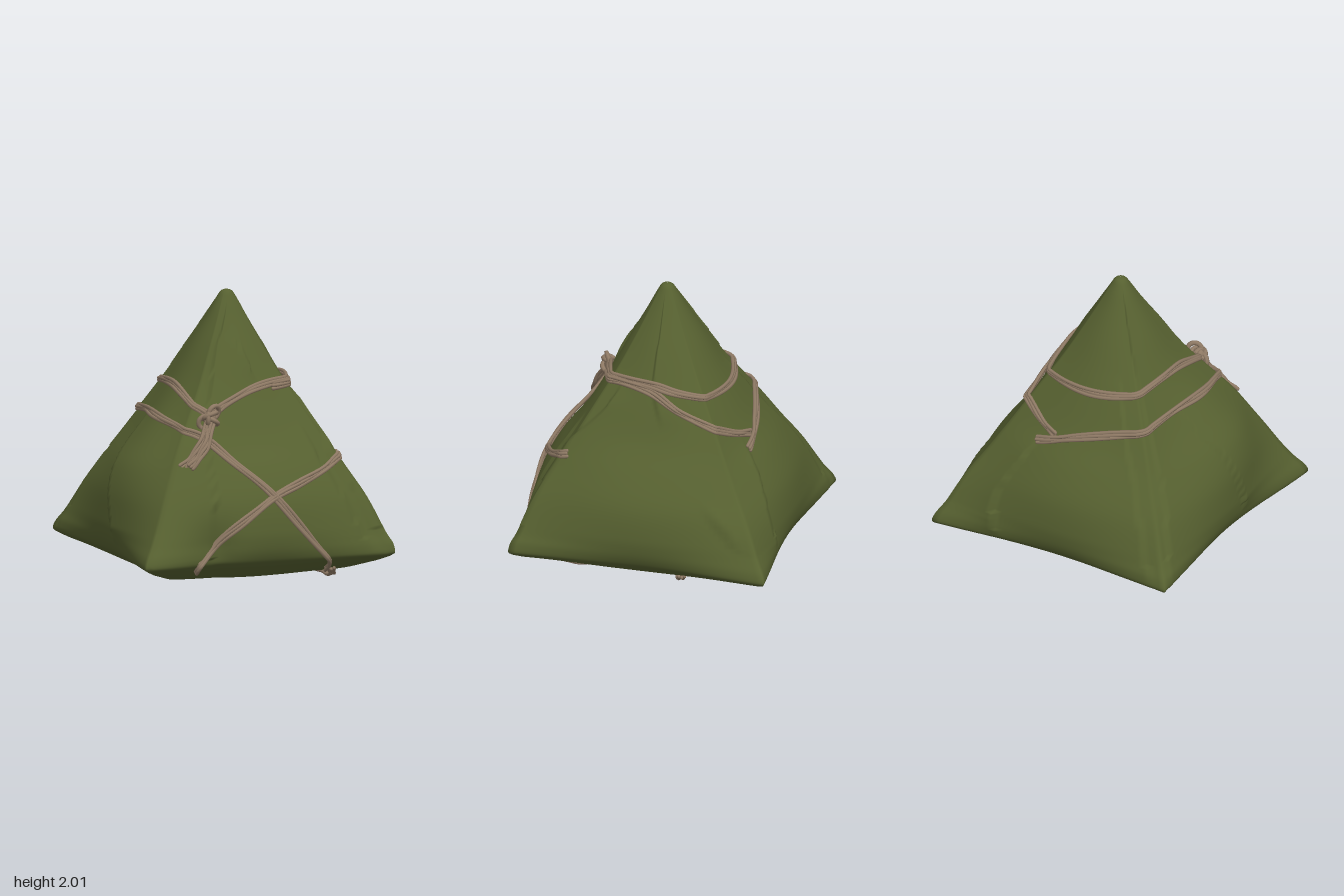
import * as THREE from 'three';

const green = new THREE.MeshStandardMaterial({ name: 'leafGreen', color: 0x566030 });
const brown = new THREE.MeshStandardMaterial({ name: 'twineBrown', color: 0x8f7a65 });

// Profile from base centre to apex: [side radius, height, corner radius]
const profile = new THREE.CatmullRomCurve3([
  [0.004, 0.02, 0.004], [0.3, 0.004, 0.3], [0.53, 0.012, 0.62], [0.67, 0.05, 0.92], [0.77, 0.1, 1.12],
  [0.84, 0.145, 1.27], [0.88, 0.185, 1.35], [0.905, 0.24, 1.33], [0.92, 0.32, 1.26], [0.92, 0.4, 1.2],
  [0.88, 0.6, 1.06], [0.77, 0.8, 0.9], [0.61, 1.0, 0.75], [0.485, 1.2, 0.59], [0.37, 1.4, 0.43],
  [0.26, 1.6, 0.29], [0.145, 1.8, 0.16], [0.075, 1.93, 0.08], [0.04, 1.985, 0.04], [0.004, 2.0, 0.004],
].map(p => new THREE.Vector3(...p)));
const ROWS = 114, COLS = 240;
const rings = profile.getPoints(ROWS);

const wrap = a => Math.atan2(Math.sin(a), Math.cos(a));
const bell = (d, w) => Math.exp(-((d / w) ** 2));
const lean = y => 0.015 * y; // apex leans slightly forward

// Corners: [angle from +z towards +x, length factor]
const corners = [[0.785, 0.965], [2.356, 1.01], [-2.356, 0.985], [-0.785, 1.02]];

// Radius of the stuffed pyramid at an angle: circle blended to square
function bodyRadius(theta, s, y, d) {
  const c = Math.max(Math.abs(Math.cos(theta)), Math.abs(Math.sin(theta)));
  let r = s * (1 + ((d / s - 1) / 0.4142) * (1 / c - 1));
  for (const [a, f] of corners) r *= 1 + (f - 1) * bell(wrap(theta - a), 0.25) * bell(y - 0.2, 0.25);
  r += 0.1 * bell(wrap(theta + 1.25), 0.5) * bell(y - 0.9, 0.3);
  r -= 0.03 * bell(wrap(theta - 1.57), 0.5) * bell(y - 0.9, 0.25);
  r -= 0.08 * bell(wrap(theta + 0.47), 0.16) * bell(y - 0.25, 0.2);
  return r;
}

// Leaf edges: path of [height, angle], raised side, thickness
const folds = [
  { path: [[0.1, -0.48], [0.65, -0.44], [1.0, -0.55], [1.35, -0.62], [1.65, -0.65], [1.95, -0.3]], side: -1, h: 0.03 },
  { path: [[0.15, 0.79], [0.5, 0.74], [0.9, 0.72], [1.2, 0.95], [1.35, 1.0]], side: 1, h: 0.03 },
  { path: [[0.2, 0.7], [0.5, 0.64], [0.85, 0.6], [1.1, 0.62]], side: -1, h: 0.018 },
  { path: [[0.15, -2.33], [0.8, -2.25], [1.4, -2.3], [1.95, -2.4]], side: 1, h: 0.025 },
  { path: [[0.15, -2.42], [0.8, -2.48], [1.4, -2.6]], side: -1, h: 0.02 },
  { path: [[1.1, 1.75], [1.4, 1.55], [1.95, 1.6]], side: 1, h: 0.02 },
  { path: [[0.25, -1.35], [0.8, -1.57], [1.15, -1.8]], side: 1, h: 0.025 },
  { path: [[0.35, 2.3], [0.5, 2.2], [0.68, 2.08]], side: 1, h: 0.025 },
  { path: [[0.2, 2.68], [0.5, 2.62], [0.95, 2.75]], side: -1, h: 0.03 },
  { path: [[1.35, 0.25], [1.6, 0.1], [1.7, -0.4]], side: -1, h: 0.02 },
];

function foldHeight(theta, y) {
  let sum = 0;
  for (const { path, side, h } of folds) {
    const y0 = path[0][0], y1 = path[path.length - 1][0];
    if (y <= y0 || y >= y1) continue;
    const i = path.findIndex(p => p[0] > y);
    const [ya, ta] = path[i - 1], [yb, tb] = path[i];
    const d = wrap(theta - (ta + (tb - ta) * (y - ya) / (yb - ya))) * side;
    if (d >= 0) sum += h * Math.exp(-d / 0.22) * Math.min(1, (y - y0) / 0.12, (y1 - y) / 0.12);
  }
  return sum;
}

function makeBody() {
  const pos = [], index = [];
  rings.forEach(({ x: s, y, z: d }, i) => {
    for (let j = 0; j < COLS; j++) {
      const t = (j / COLS) * Math.PI * 2;
      const r = bodyRadius(t, s, y, d) + foldHeight(t, y) * Math.min(1, s / 0.3);
      pos.push(r * Math.sin(t), y, r * Math.cos(t) + lean(y));
      if (i === ROWS) continue;
      const a = i * COLS + j, b = i * COLS + (j + 1) % COLS;
      index.push(a, b, b + COLS, a, b + COLS, a + COLS);
    }
  });
  const geo = new THREE.BufferGeometry();
  geo.setAttribute('position', new THREE.Float32BufferAttribute(pos, 3));
  geo.setIndex(index);
  geo.computeVertexNormals();
  return new THREE.Mesh(geo, green);
}

// Moves a point radially so that it rests on the leaf surface
function ontoBody(p) {
  const y = THREE.MathUtils.clamp(p.y, 0.03, 1.95);
  const i = rings.findIndex((q, k) => k > 12 && q.y > y);
  const a = rings[i - 1], b = rings[i];
  const q = a.clone().lerp(b, (y - a.y) / (b.y - a.y));
  const t = Math.atan2(p.x, p.z - lean(y));
  const r = bodyRadius(t, q.x, y, q.z) + 0.026;
  return new THREE.Vector3(r * Math.sin(t), p.y, r * Math.cos(t) + lean(y));
}

// Twine: three thin strands side by side along one path
function makeTwine(name, points, onBody = true, normal = null) {
  const group = new THREE.Group();
  group.name = name;
  const n = 16 + points.length * 5;
  let line = new THREE.CatmullRomCurve3(points.map(p => new THREE.Vector3(...p))).getPoints(n);
  if (onBody) line = line.map(ontoBody);
  for (const k of [-1, 0, 1]) {
    const strand = line.map((p, i) => {
      const tangent = line[Math.min(i + 1, n)].clone().sub(line[Math.max(i - 1, 0)]);
      const out = normal ? normal.clone() : new THREE.Vector3(p.x, 0.4 * Math.hypot(p.x, p.z), p.z);
      out.normalize();
      const across = tangent.cross(out).normalize();
      return p.clone().addScaledVector(across, k * 0.017 + 0.004 * Math.sin(i * 0.35 + k))
        .addScaledVector(out, 0.006 * Math.cos(i * 0.3 + k * 2));
    });
    group.add(new THREE.Mesh(new THREE.TubeGeometry(new THREE.CatmullRomCurve3(strand), n * 2, 0.0135, 6), brown));
    for (const end of [strand[0], strand[n]]) {
      const cap = new THREE.Mesh(new THREE.SphereGeometry(0.0135, 6, 4), brown);
      cap.position.copy(end);
      group.add(cap);
    }
  }
  return group;
}

// Knot: crossed rings of twine around a small core
function makeKnot() {
  const knot = new THREE.Group();
  knot.name = 'knot';
  const core = new THREE.Mesh(new THREE.SphereGeometry(0.05, 12, 8), brown);
  core.scale.set(1, 1.2, 0.8);
  knot.add(core);
  for (const [x, y, rx, ry, rz] of [[0, 0.02, 1.2, 0.3, 0], [0.01, -0.02, 1.3, -0.5, 0.4], [-0.01, 0, 0.2, 1.2, 0.3],
    [0.03, 0.04, 0.3, 0.4, 0], [-0.03, -0.03, 0.2, -0.3, 0.5]]) {
    const loop = new THREE.Mesh(new THREE.TorusGeometry(0.05, 0.018, 7, 20), brown);
    loop.position.set(x, y, 0);
    loop.rotation.set(rx, ry, rz);
    knot.add(loop);
  }
  knot.position.set(-0.33, 1.17, 0.55);
  return knot;
}

export function createModel() {
  const model = new THREE.Group();
  model.name = 'leafWrappedDumpling';
  const body = makeBody();
  body.name = 'leafWrap';
  model.add(body);

  model.add(makeTwine('upperLoop', [
    [-0.33, 1.18, 0.54], [-0.2, 1.25, 0.5], [0, 1.33, 0.5], [0.2, 1.375, 0.42], [0.38, 1.385, 0.25], [0.45, 1.37, 0],
    [0.42, 1.34, -0.15], [0.28, 1.3, -0.34], [0, 1.29, -0.43], [-0.25, 1.31, -0.35], [-0.4, 1.35, -0.1],
    [-0.44, 1.35, 0.12], [-0.42, 1.28, 0.35], [-0.34, 1.18, 0.54]]));
  model.add(makeTwine('lowerLoopSide', [
    [0.2, 1.35, 0.42], [0.38, 1.36, 0.25], [0.47, 1.32, 0], [0.49, 1.22, -0.2], [0.45, 1.13, -0.4],
    [0.3, 1.03, -0.58], [0.16, 0.98, -0.65]]));
  model.add(makeTwine('lowerLoopBack', [
    [0.3, 0.92, -0.7], [0.15, 0.96, -0.7], [0, 1.0, -0.67], [-0.3, 1.08, -0.5], [-0.5, 1.14, -0.2], [-0.57, 1.15, 0.02],
    [-0.54, 1.14, 0.22], [-0.46, 1.1, 0.42], [-0.36, 1.03, 0.56], [-0.2, 0.87, 0.7], [0, 0.67, 0.88],
    [0.2, 0.43, 0.93], [0.38, 0.22, 0.92], [0.5, 0.08, 0.8]]));
  model.add(makeTwine('lowerDiagonal', [
    [0.53, 0.87, 0.5], [0.45, 0.8, 0.65], [0.25, 0.72, 0.82], [0, 0.62, 0.91], [-0.2, 0.49, 0.91],
    [-0.38, 0.33, 0.85], [-0.55, 0.13, 0.84]]));

  // Short pieces showing under the base
  const down = new THREE.Vector3(0, -1, 0);
  model.add(makeTwine('underTwineFront', [[0.5, 0.08, 0.79], [0.54, 0.03, 0.7], [0.55, 0.012, 0.55], [0.54, 0.025, 0.4]], false, down));
  model.add(makeTwine('underTwineSide', [[0.77, 0.085, -0.3], [0.66, 0.03, -0.26], [0.5, 0.02, -0.2]], false, down));

  model.add(makeKnot());
  const front = new THREE.Vector3(-0.4, 0.3, 1);
  model.add(makeTwine('knotTailLong', [[-0.34, 1.15, 0.57], [-0.42, 1.02, 0.63], [-0.5, 0.92, 0.66], [-0.585, 0.85, 0.66]], false, front));
  model.add(makeTwine('knotTailShort', [[-0.33, 1.14, 0.58], [-0.39, 1.02, 0.66], [-0.46, 0.93, 0.7], [-0.54, 0.86, 0.72]], false, front));
  return model;
}
